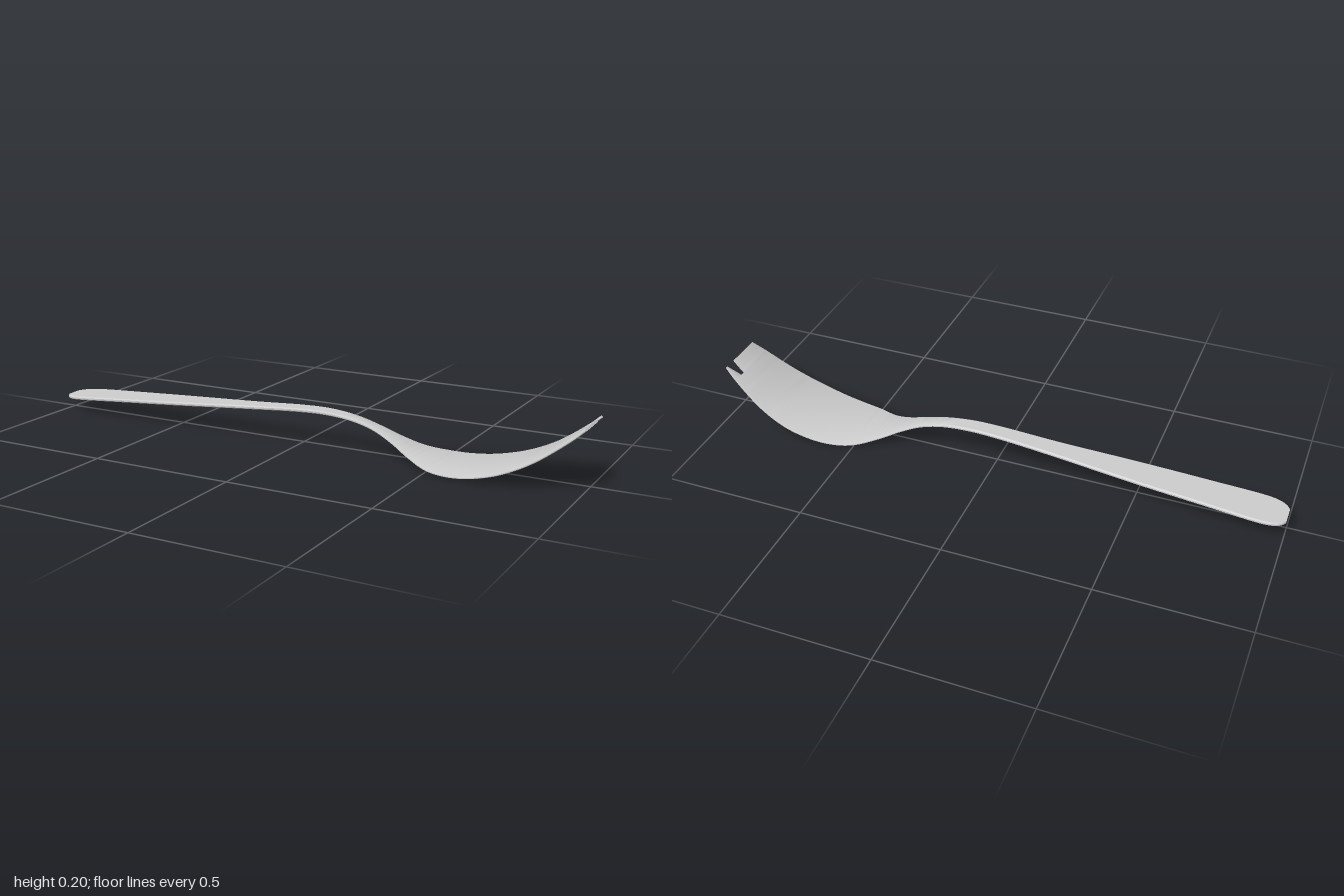
import * as THREE from 'three';
import { toCreasedNormals } from 'three/addons/utils/BufferGeometryUtils.js';

// Stations along the utensil: x, height of the centre line, half width
const stations = [
  [-0.999, 0.049, 0.035], [-0.985, 0.05, 0.052], [-0.96, 0.052, 0.065], [-0.92, 0.055, 0.071],
  [-0.75, 0.067, 0.066], [-0.5, 0.084, 0.056], [-0.2, 0.105, 0.038], [0, 0.119, 0.032],
  [0.1, 0.12, 0.03], [0.2, 0.109, 0.028], [0.28, 0.087, 0.031], [0.35, 0.058, 0.046],
  [0.42, 0.029, 0.076], [0.5, 0.01, 0.117], [0.57, 0.006, 0.135], [0.65, 0.014, 0.144],
  [0.75, 0.041, 0.145], [0.85, 0.089, 0.132], [0.955, 0.165, 0.107], [0.997, 0.202, 0.094],
];
const spine = new THREE.CatmullRomCurve3(stations.map(p => new THREE.Vector3(...p)));
const last = stations.length - 1;

// Lofts a thin bevelled plate along the spine between two stations.
// edges(half, k) gives the [min, max] z at progress k.
function plate(name, from, to, steps, edges, material) {
  const pos = [], index = [], n = 8;
  for (let i = 0; i <= steps; i++) {
    const k = i / steps, t = (from + (to - from) * k) / last;
    const p = spine.getPoint(t), d = spine.getTangent(t);
    const len = Math.hypot(d.x, d.y), nx = -d.y / len, ny = d.x / len;
    const [z0, z1] = edges(p.z, k);
    // The handle is a little thicker than the bowl
    const h = THREE.MathUtils.lerp(0.0065, 0.004, THREE.MathUtils.smoothstep(p.x, 0, 0.4));
    const b = Math.min(0.006, (z1 - z0) * 0.3);
    const ring = [[z0, -h * 0.4], [z0, h * 0.4], [z0 + b, h], [z1 - b, h],
      [z1, h * 0.4], [z1, -h * 0.4], [z1 - b, -h], [z0 + b, -h]];
    for (const [z, o] of ring) pos.push(p.x + nx * o, p.y + ny * o, z);
    if (i === 0) continue;
    const a = (i - 1) * n, c = i * n;
    for (let j = 0; j < n; j++) {
      const m = (j + 1) % n;
      index.push(a + j, a + m, c + j, a + m, c + m, c + j);
    }
  }
  // End caps
  const e = steps * n;
  for (let j = 1; j < n - 1; j++) index.push(0, j + 1, j, e, e + j, e + j + 1);
  const g = new THREE.BufferGeometry();
  g.setAttribute('position', new THREE.Float32BufferAttribute(pos, 3));
  g.setIndex(index);
  const mesh = new THREE.Mesh(toCreasedNormals(g, 0.5), material);
  mesh.name = name;
  return mesh;
}

export function createModel() {
  const group = new THREE.Group();
  group.name = 'fork';
  const material = new THREE.MeshStandardMaterial({ color: 0xcccccc, side: THREE.DoubleSide });
  const full = half => [-half, half];
  group.add(plate('handle', 0, 10, 60, full, material));
  group.add(plate('bowl', 10, last - 1, 60, full, material));
  // Broad tip and the narrow side tine, split by a notch
  group.add(plate('broadTip', last - 1, last, 6, (half, k) => [-0.05 + 0.007 * k, half - 0.006 * k], material));
  group.add(plate('sideTine', last - 1, last, 6, (half, k) => [-half, -0.068 - 0.018 * k], material));
  return group;
}
